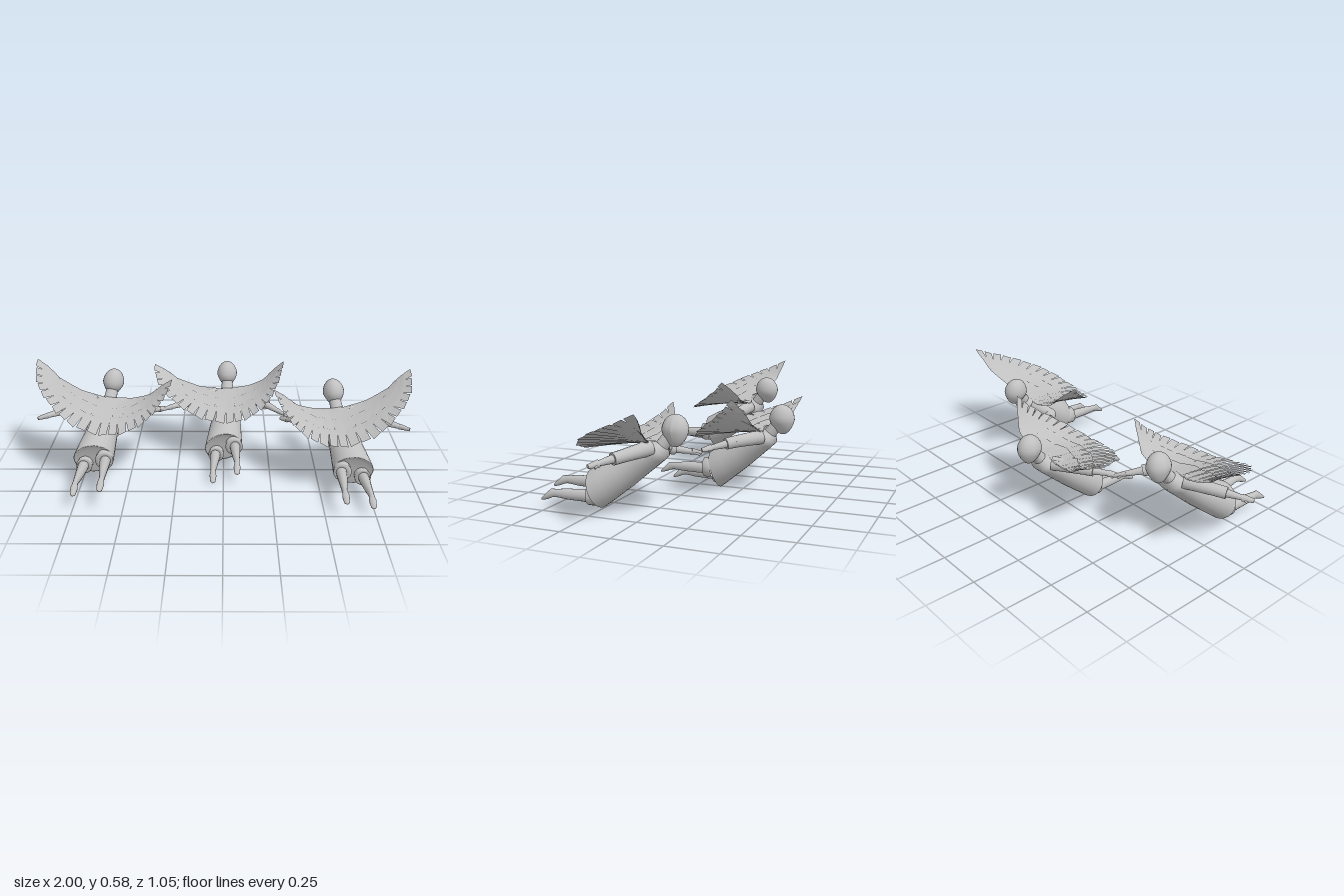
import * as THREE from 'three';

const V = (p) => new THREE.Vector3(...p);
const stone = new THREE.MeshStandardMaterial({ color: 0xc0c0c0, side: THREE.DoubleSide });
stone.name = 'stone grey';
const HEAD = [0.02, 0.395, -0.46];

function add(group, name, geometry) {
  const mesh = new THREE.Mesh(geometry, stone);
  mesh.name = name;
  group.add(mesh);
  return mesh;
}

// Skin over elliptical rings: [centre x, top y, top z, bottom y, bottom z, half width, roll]
function loft(rings, sides = 20) {
  const pos = [], index = [];
  rings.forEach(([cx, ty, tz, by, bz, w, roll = 0], r) => {
    for (let i = 0; i < sides; i++) {
      const a = (i / sides) * Math.PI * 2;
      const x = Math.sin(a) * w, c = Math.cos(a);
      const y = c * (ty - by) / 2;
      pos.push(cx + x * Math.cos(roll) - y * Math.sin(roll),
        (ty + by) / 2 + x * Math.sin(roll) + y * Math.cos(roll),
        (tz + bz) / 2 + c * (tz - bz) / 2);
      if (r) {
        const j = (i + 1) % sides, p = (r - 1) * sides, q = r * sides;
        index.push(p + i, q + i, p + j, p + j, q + i, q + j);
      }
    }
  });
  const g = new THREE.BufferGeometry();
  g.setAttribute('position', new THREE.Float32BufferAttribute(pos, 3));
  g.setIndex(index);
  g.computeVertexNormals();
  return g;
}

// Tapered cylinder from point a to point b
function limb(group, name, a, b, ra, rb) {
  const d = b.clone().sub(a);
  const mesh = add(group, name, new THREE.CylinderGeometry(rb, ra, d.length(), 14));
  mesh.position.copy(a).addScaledVector(d, 0.5);
  mesh.quaternion.setFromUnitVectors(new THREE.Vector3(0, 1, 0), d.normalize());
  return mesh;
}

// Fan of flat feathers between a bone curve and a tip curve
function feathers(bone, tips, count, reach, lift, notch) {
  const root = new THREE.CatmullRomCurve3(bone.map(V));
  const end = new THREE.CatmullRomCurve3(tips.map(V));
  const at = (t, s, up) => {
    const p = root.getPoint(t).lerp(end.getPoint(t), s);
    p.y += up + 0.005 * Math.sin(Math.PI * s);
    return p;
  };
  const pos = [];
  for (let i = 0; i < count; i++) {
    const t0 = i / count, t1 = (i + 1) / count;
    const rows = [0, 0.4, 0.68, 1].map((k) => {
      const s = reach * k;
      const gap = k === 1 ? notch / count : 0;
      const slant = k === 1 ? 0.03 : 0;
      return [at(t0 + gap, s - slant * (i % 2), lift), at(t1 - gap, s - slant, lift + 0.003 * k)];
    });
    for (let r = 0; r < 3; r++) {
      const [a, b] = rows[r], [c, d] = rows[r + 1];
      for (const p of [a, c, b, b, c, d]) pos.push(p.x, p.y, p.z);
    }
  }
  const g = new THREE.BufferGeometry();
  g.setAttribute('position', new THREE.Float32BufferAttribute(pos, 3));
  g.computeVertexNormals();
  return g;
}

const WINGS = {
  outerWing: {
    bone: [[0.015, 0.33, -0.36], [-0.06, 0.328, -0.385], [-0.14, 0.333, -0.4], [-0.22, 0.355, -0.42], [-0.27, 0.37, -0.432]],
    tips: [[0.01, 0.275, -0.005], [-0.1, 0.285, -0.02], [-0.195, 0.312, -0.07], [-0.275, 0.342, -0.15],
      [-0.345, 0.372, -0.245], [-0.387, 0.407, -0.35], [-0.402, 0.455, -0.46]],
  },
  innerWing: {
    bone: [[0.015, 0.33, -0.36], [0.08, 0.333, -0.385], [0.14, 0.343, -0.385], [0.19, 0.365, -0.38], [0.23, 0.385, -0.372]],
    tips: [[0.01, 0.275, -0.005], [0.1, 0.283, -0.015], [0.185, 0.318, -0.05], [0.25, 0.363, -0.11],
      [0.29, 0.413, -0.18], [0.318, 0.463, -0.24], [0.337, 0.53, -0.303]],
  },
};

function arm(group, name, shoulder, elbow, hand, cuffAt) {
  const a = V(shoulder), e = V(elbow), h = V(hand);
  const cuff = e.clone().lerp(h, cuffAt), wrist = e.clone().lerp(h, 0.7);
  limb(group, name + 'UpperSleeve', a, e, 0.037, 0.03);
  const joint = add(group, name + 'Elbow', new THREE.SphereGeometry(0.03, 14, 10));
  joint.position.copy(e);
  limb(group, name + 'LowerSleeve', e, cuff, 0.03, 0.029);
  limb(group, name + 'Forearm', cuff, wrist, 0.02, 0.013);
  // Palm with a thumb
  const palm = limb(group, name + 'Hand', wrist, h, 0.014, 0.008);
  palm.scale.set(1.3, 1, 1);
  const thumbTip = wrist.clone().lerp(h, 0.6).add(new THREE.Vector3(0, -0.012, -0.016));
  limb(group, name + 'Thumb', wrist, thumbTip, 0.008, 0.005);
}

function angel(name, outerHand, innerElbow, innerHand) {
  const group = new THREE.Group();
  group.name = name;
  const body = new THREE.Group();
  body.name = 'figure';
  body.position.set(-HEAD[0], -HEAD[1], -HEAD[2]);
  group.add(body);

  // Head, narrowed towards the chin
  const skull = new THREE.SphereGeometry(1, 20, 14);
  const p = skull.attributes.position;
  for (let i = 0; i < p.count; i++) {
    const y = p.getY(i), low = Math.max(0, -y);
    p.setX(i, p.getX(i) * (1 - 0.35 * low));
    p.setZ(i, p.getZ(i) * (1 - 0.25 * low) - 0.08 * low);
  }
  skull.scale(0.057, 0.076, 0.065);
  skull.computeVertexNormals();
  add(body, 'head', skull).position.set(HEAD[0], HEAD[1] - 0.005, HEAD[2]);

  // Neck and robe, with a folded-in hem
  add(body, 'neck', loft([
    [0.02, 0.375, -0.405, 0.34, -0.455, 0.03], [0.02, 0.33, -0.37, 0.29, -0.42, 0.036]]));
  add(body, 'robe', loft([
    [0.02, 0.338, -0.385, 0.3, -0.43, 0.034],
    [0.02, 0.333, -0.36, 0.267, -0.43, 0.07, 0.03],
    [0.02, 0.32, -0.33, 0.242, -0.405, 0.086, 0.06],
    [0.017, 0.292, -0.27, 0.192, -0.35, 0.08, 0.12],
    [0.012, 0.255, -0.19, 0.12, -0.27, 0.085, 0.2],
    [0.005, 0.218, -0.12, 0.054, -0.19, 0.096, 0.27],
    [0, 0.188, -0.065, 0.005, -0.13, 0.104, 0.3],
    [0, 0.181, -0.068, 0.012, -0.124, 0.098, 0.3],
    [0.003, 0.16, -0.085, 0.035, -0.12, 0.08, 0.3],
    [0.003, 0.1, -0.1, 0.099, -0.1, 0.001, 0.3]], 24));

  // Legs with pointed feet trailing behind, each in a loose trouser cuff
  for (const [leg, x, y, z, flare] of [['outerLeg', -0.045, 0.055, 0, 0.042], ['innerLeg', 0.062, 0.112, 0.015, 0.047]]) {
    const out = Math.sign(x) * 0.01;
    const ring = (k, t, tz, b, bz, w) => [x + out * k, y + t, z + tz, y + b, z + bz, w];
    add(body, leg, loft([
      ring(0, 0.03, -0.105, -0.03, -0.105, 0.028),
      ring(0.2, 0.03, -0.05, -0.029, -0.05, 0.027),
      ring(0.6, 0.024, 0.04, -0.027, 0.04, 0.02),
      ring(1, 0.017, 0.1, -0.021, 0.1, 0.014),
      ring(1, 0.016, 0.128, -0.025, 0.12, 0.014),
      ring(1, 0.004, 0.14, -0.035, 0.142, 0.018),
      ring(1, -0.025, 0.17, -0.042, 0.168, 0.014),
      ring(1, -0.038, 0.178, -0.041, 0.178, 0.002)], 14));
    add(body, leg + 'Cuff', loft([
      ring(-0.6, flare + 0.006, -0.115, -flare, -0.115, flare - 0.004),
      ring(-0.4, flare + 0.008, -0.068, -flare, -0.075, flare),
      ring(0.2, 0.028, -0.078, -0.028, -0.082, 0.026)], 14));
  }

  const outerShoulder = [-0.045, 0.305, -0.37];
  arm(body, 'outerArm', outerShoulder, V(outerShoulder).lerp(V(outerHand), 0.45).toArray(), outerHand, 0.3);
  arm(body, 'innerArm', [0.085, 0.305, -0.37], innerElbow, innerHand, 0.25);

  // Long flight feathers under two shorter layers
  for (const [side, { bone, tips }] of Object.entries(WINGS)) {
    add(body, side + 'FlightFeathers', feathers(bone, tips, 11, 1, 0, 0.11));
    add(body, side + 'MiddleFeathers', feathers(bone, tips, 8, 0.62, 0.003, 0.02));
    add(body, side + 'ShortFeathers', feathers(bone, tips, 6, 0.36, 0.006, 0));
  }
  return group;
}

export function createModel() {
  const model = new THREE.Group();
  model.name = 'threeFlyingAngels';
  const middle = angel('middleAngel', [-0.335, 0.285, -0.18], [0.21, 0.295, -0.27], [0.335, 0.268, -0.15]);
  middle.position.set(...HEAD);

  const sidePose = [[-0.325, 0.215, -0.215], [0.2, 0.3, -0.34], [0.325, 0.283, -0.475]];
  const right = angel('rightAngel', ...sidePose);
  right.position.set(-0.6, 0.45, -0.182);
  right.rotation.z = -0.18;

  // Mirrored partner on the other side
  const left = angel('leftAngel', ...sidePose);
  left.scale.x = -1;
  left.rotation.z = 0.18;
  left.position.set(0.594, 0.415, -0.125);

  model.add(middle, right, left);
  return model;
}
